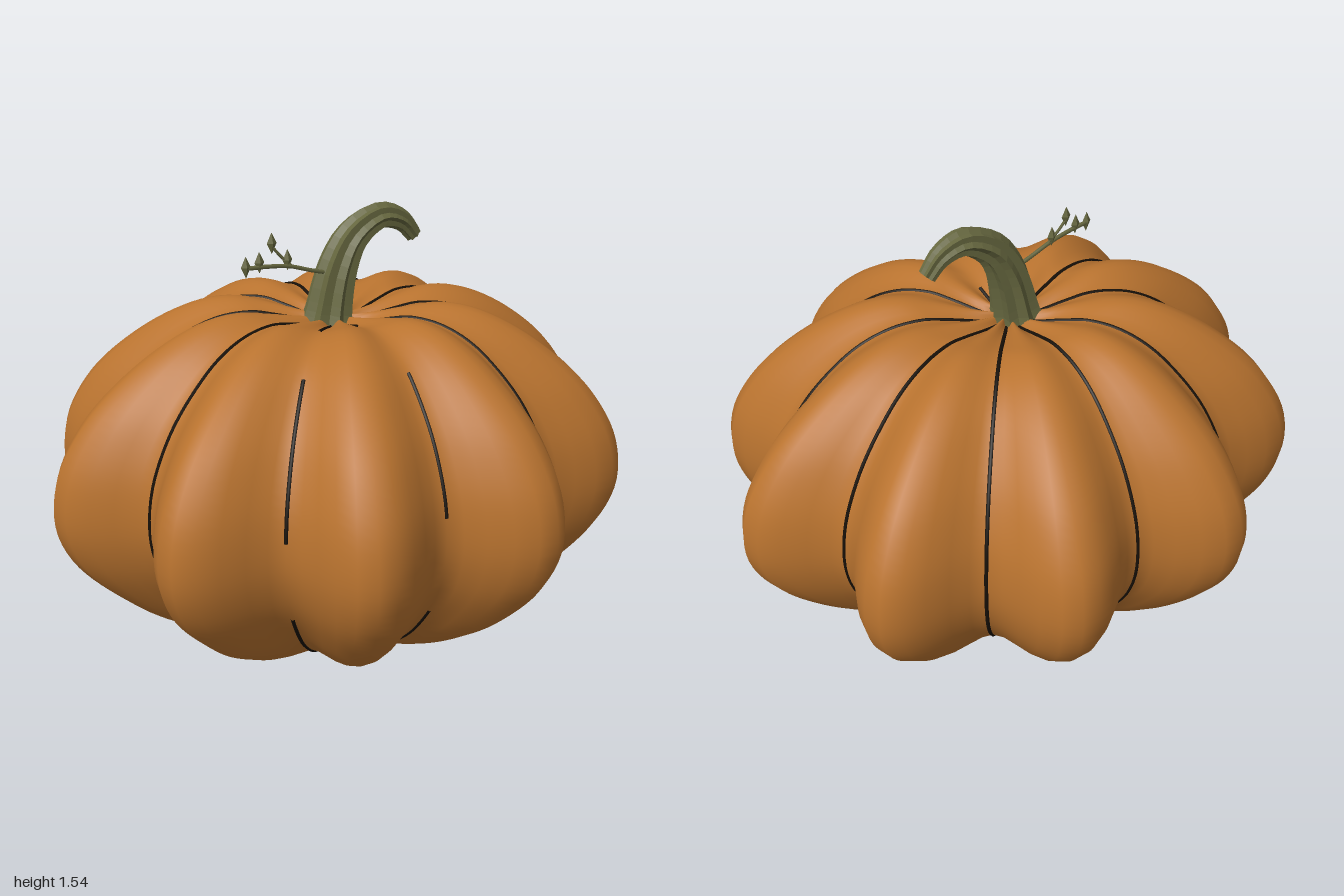
import * as THREE from 'three';
import { mergeVertices } from 'three/addons/utils/BufferGeometryUtils.js';

const V2 = (x, y) => new THREE.Vector2(x, y);
const V3 = (x, y, z) => new THREE.Vector3(x, y, z);
const RIBS = 10, DEPTH = 0.915;

// Profile along the crest of a rib, bottom to top
const profile = new THREE.SplineCurve([
  V2(0, 0.04), V2(0.2, 0.05), V2(0.4, 0.068), V2(0.46, 0.085), V2(0.6, 0.158), V2(0.75, 0.262),
  V2(0.9, 0.41), V2(0.975, 0.53), V2(1, 0.65), V2(0.975, 0.79), V2(0.9, 0.92),
  V2(0.8, 1.025), V2(0.65, 1.133), V2(0.5, 1.205), V2(0.37, 1.23), V2(0.25, 1.215),
  V2(0.12, 1.19), V2(0, 1.175),
]);

// Point on the ribbed skin for a profile point and an angle
function skin(r, y, angle) {
  const crest = 0.5 + 0.5 * Math.cos(RIBS * angle);
  const k = 0.8 + 0.2 * crest;
  const dip = y > 0.65 ? 0.028 * (1 - crest) * (1 - THREE.MathUtils.smoothstep(r, 0.35, 0.7)) : 0;
  return V3(r * k * Math.cos(angle), y - dip, r * k * Math.sin(angle) * DEPTH);
}

function bodyGeometry() {
  let g = new THREE.LatheGeometry(profile.getSpacedPoints(72), 100);
  const p = g.attributes.position;
  for (let i = 0; i < p.count; i++) {
    const x = p.getX(i), z = p.getZ(i);
    const s = skin(Math.hypot(x, z), p.getY(i), Math.atan2(z, x));
    p.setXYZ(i, s.x, s.y, s.z);
  }
  g.deleteAttribute('uv');
  g.deleteAttribute('normal');
  g = mergeVertices(g, 1e-5);
  g.computeVertexNormals();
  return g;
}

// Ribbed, tapering stem swept along a curve in the xy plane
function stemGeometry() {
  const path = new THREE.CatmullRomCurve3([
    V3(-0.032, 1.15, 0), V3(-0.025, 1.2, 0), V3(0.008, 1.34, 0), V3(0.065, 1.44, 0),
    V3(0.165, 1.494, 0), V3(0.245, 1.47, 0), V3(0.295, 1.415, 0),
  ]);
  const rings = 20, sides = 16, pos = [], idx = [];
  for (let i = 0; i <= rings; i++) {
    const t = i / rings, c = path.getPoint(t), d = path.getTangent(t);
    const size = 0.028 + 0.064 * Math.pow(1 - t, 1.25);
    for (let j = 0; j < sides; j++) {
      const a = (j / sides) * Math.PI * 2, r = size * (j % 2 ? 0.8 : 1.03);
      const n = Math.cos(a) * r;
      pos.push(c.x - d.y * n, c.y + d.x * n, Math.sin(a) * r);
      if (i < rings) {
        const k = i * sides + j, m = i * sides + (j + 1) % sides;
        idx.push(k, m, k + sides, m, m + sides, k + sides);
      }
    }
  }
  // closed tip
  const end = path.getPoint(1), tip = pos.length / 3;
  pos.push(end.x, end.y, end.z);
  for (let j = 0; j < sides; j++) idx.push(tip, rings * sides + j, rings * sides + (j + 1) % sides);
  const g = new THREE.BufferGeometry();
  g.setAttribute('position', new THREE.Float32BufferAttribute(pos, 3));
  g.setIndex(idx);
  const flat = g.toNonIndexed();
  flat.computeVertexNormals();
  return flat;
}

function tube(points, radius, sides) {
  return new THREE.TubeGeometry(new THREE.CatmullRomCurve3(points), points.length * 3, radius, sides);
}

export function createModel() {
  const group = new THREE.Group();
  const material = (name, color) => {
    const m = new THREE.MeshStandardMaterial({ color });
    m.name = name;
    return m;
  };
  const orange = material('orange skin', 0xb9732f);
  const green = material('stem green', 0x66673f);
  green.side = THREE.DoubleSide;
  const dark = material('groove dark', 0x171008);
  const add = (name, geometry, mat, parent = group) => {
    const m = new THREE.Mesh(geometry, mat);
    m.name = name;
    parent.add(m);
    return m;
  };

  add('body', bodyGeometry(), orange);

  // Small point under the body
  const point = add('bottomPoint', new THREE.ConeGeometry(0.026, 0.045, 10), orange);
  point.rotation.x = Math.PI;
  point.position.y = 0.0225;

  // Dark groove lines; the front ones are interrupted: [low y, high y, top gap start radius]
  const gaps = [[0.6, 0.7], [0.35, 0.79], [0.39, 0.74, 0.23], [0.42, 0.7, 0.36]];
  const grooves = new THREE.Group();
  grooves.name = 'grooveLines';
  group.add(grooves);
  const samples = profile.getSpacedPoints(144);
  for (let k = 0; k < RIBS; k++) {
    const angle = ((k + 0.5) / RIBS) * Math.PI * 2, gap = gaps[k];
    let run = [];
    const flush = () => {
      if (run.length > 2) add('grooveLine', tube(run.filter((_, i) => i % 2 === 0 || i === run.length - 1), 0.0068, 6), dark, grooves);
      run = [];
    };
    for (const p of samples) {
      const hidden = gap && ((p.y > gap[0] && p.y < gap[1]) || (gap[2] && p.y > 1.13 && p.x > gap[2]));
      if (hidden) flush();
      else if (p.x > 0.015) run.push(skin(p.x, p.y, angle));
    }
    flush();
  }

  add('stem', stemGeometry(), green);

  // Side twig with small pointed buds
  const twig = new THREE.Group();
  twig.name = 'twig';
  group.add(twig);
  add('twigBranch', tube([V3(-0.02, 1.325, 0.01), V3(-0.1, 1.347, 0.018), V3(-0.18, 1.372, 0.024),
    V3(-0.26, 1.383, 0.034), V3(-0.335, 1.388, 0.042)], 0.007, 6), green, twig);
  add('twigFork', tube([V3(-0.165, 1.367, 0.024), V3(-0.205, 1.405, 0.02), V3(-0.235, 1.44, 0.018)], 0.005, 5), green, twig);
  for (const [x, y, z] of [[-0.337, 1.392, 0.042], [-0.288, 1.4, 0.036], [-0.236, 1.452, 0.018], [-0.184, 1.393, 0.022]]) {
    const bud = add('bud', new THREE.OctahedronGeometry(1), green, twig);
    bud.scale.set(0.017, 0.035, 0.011);
    bud.position.set(x, y, z);
  }
  return group;
}
